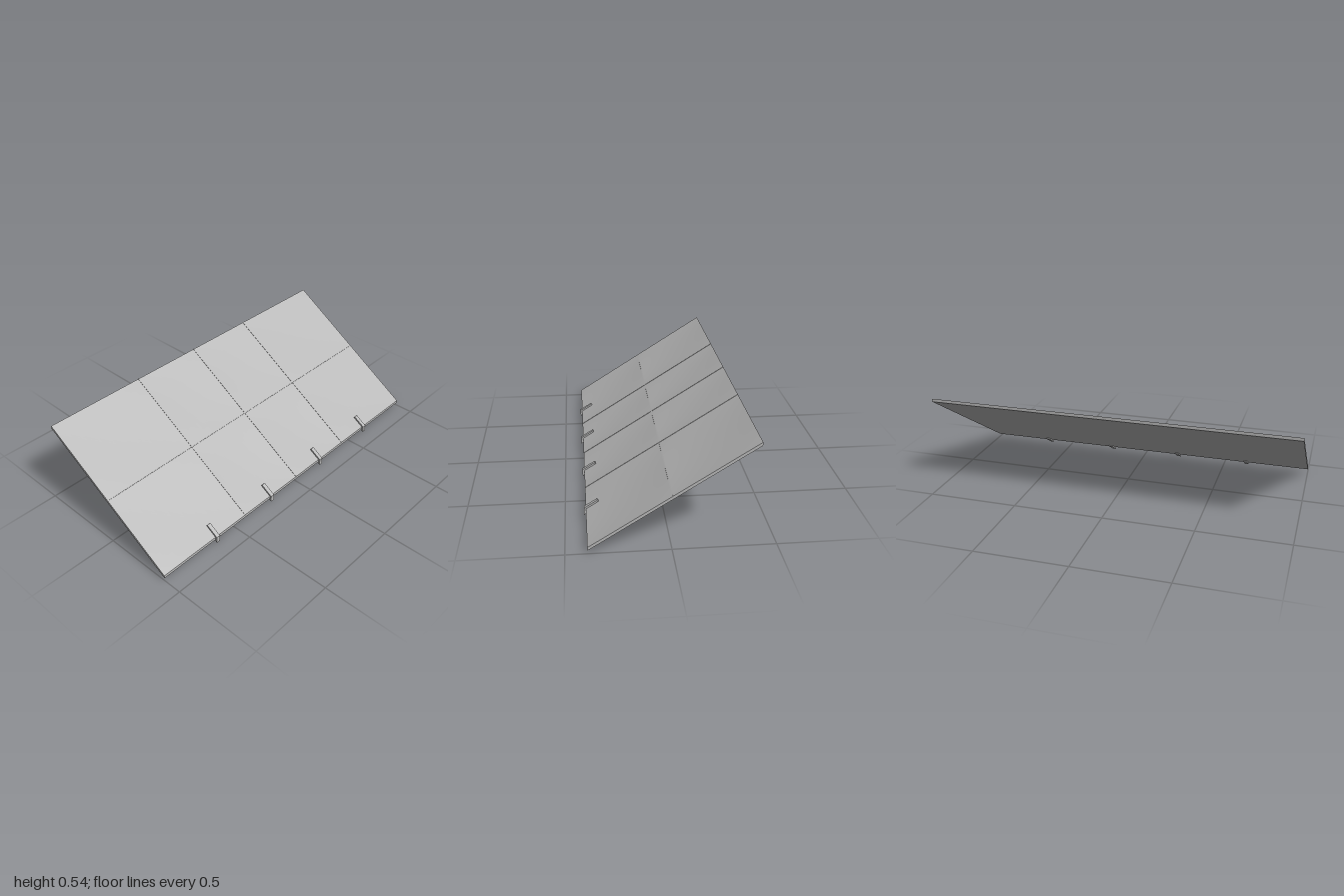
import * as THREE from 'three';

const X0 = -0.405, X1 = 0.395, Y0 = 0.537, SLOPE = -0.6275, THICK = 0.017, SAG = 0.008;
// height of the sloping top plane
const roofY = (x) => Y0 + (x - X0) * SLOPE;

// box whose vertices are dropped onto the slope, with an optional sag
function slopedBox(xa, xb, za, zb, low, high, n, sag) {
  const g = new THREE.BoxGeometry(xb - xa, high - low, zb - za, n, 1, n);
  g.translate((xa + xb) / 2, (low + high) / 2, (za + zb) / 2);
  const p = g.attributes.position;
  for (let i = 0; i < p.count; i++) {
    const x = p.getX(i), z = p.getZ(i);
    const u = (x - xa) / (xb - xa), v = (z - za) / (zb - za);
    const dip = sag * 16 * u * (1 - u) * v * (1 - v);
    p.setY(i, p.getY(i) + roofY(x) - dip);
  }
  g.computeVertexNormals();
  return g;
}

export function createModel() {
  const group = new THREE.Group();
  group.name = 'canopy';
  const grey = new THREE.MeshStandardMaterial({ color: 0xb8b8b8 });
  grey.name = 'grey';
  const add = (geometry, name) => {
    const mesh = new THREE.Mesh(geometry, grey);
    mesh.name = name;
    group.add(mesh);
  };

  // slightly sagging panels, two rows of four
  const xs = [X0, 0, X1], zs = [-1, -0.42, 0, 0.42, 1];
  for (let i = 0; i < 2; i++) {
    for (let j = 0; j < 4; j++) {
      add(slopedBox(xs[i], xs[i + 1], zs[j], zs[j + 1], -THICK, 0, 10, SAG), 'panel');
    }
  }

  // thin seams between the panels
  add(slopedBox(-0.0025, 0.0025, -0.99, 0.99, -0.012, 0.001, 1, 0), 'longSeam');
  for (const z of [-0.42, 0, 0.42]) {
    add(slopedBox(X0, X1, z - 0.0025, z + 0.0025, -0.012, 0.002, 1, 0), 'crossSeam');
  }

  // clips hooked around the lower edge
  const END = 0.405, ARM = 0.0105;
  const clip = new THREE.Shape([
    [END, roofY(END) - THICK - ARM],
    [END, roofY(END) + ARM],
    [0.337, roofY(0.337) + ARM],
    [0.331, roofY(0.331)],
    [X1, roofY(X1)],
    [X1, roofY(X1) - THICK],
    [0.333, roofY(0.333) - THICK],
    [0.328, roofY(0.328) - THICK - ARM],
  ].map(([x, y]) => new THREE.Vector2(x, y)));
  const clipGeometry = new THREE.ExtrudeGeometry(clip, { depth: 0.022, bevelEnabled: false });
  clipGeometry.translate(0, 0, -0.011);
  for (const z of [-0.634, -0.212, 0.212, 0.634]) {
    add(clipGeometry.clone().translate(0, 0, z), 'edgeClip');
  }
  return group;
}
